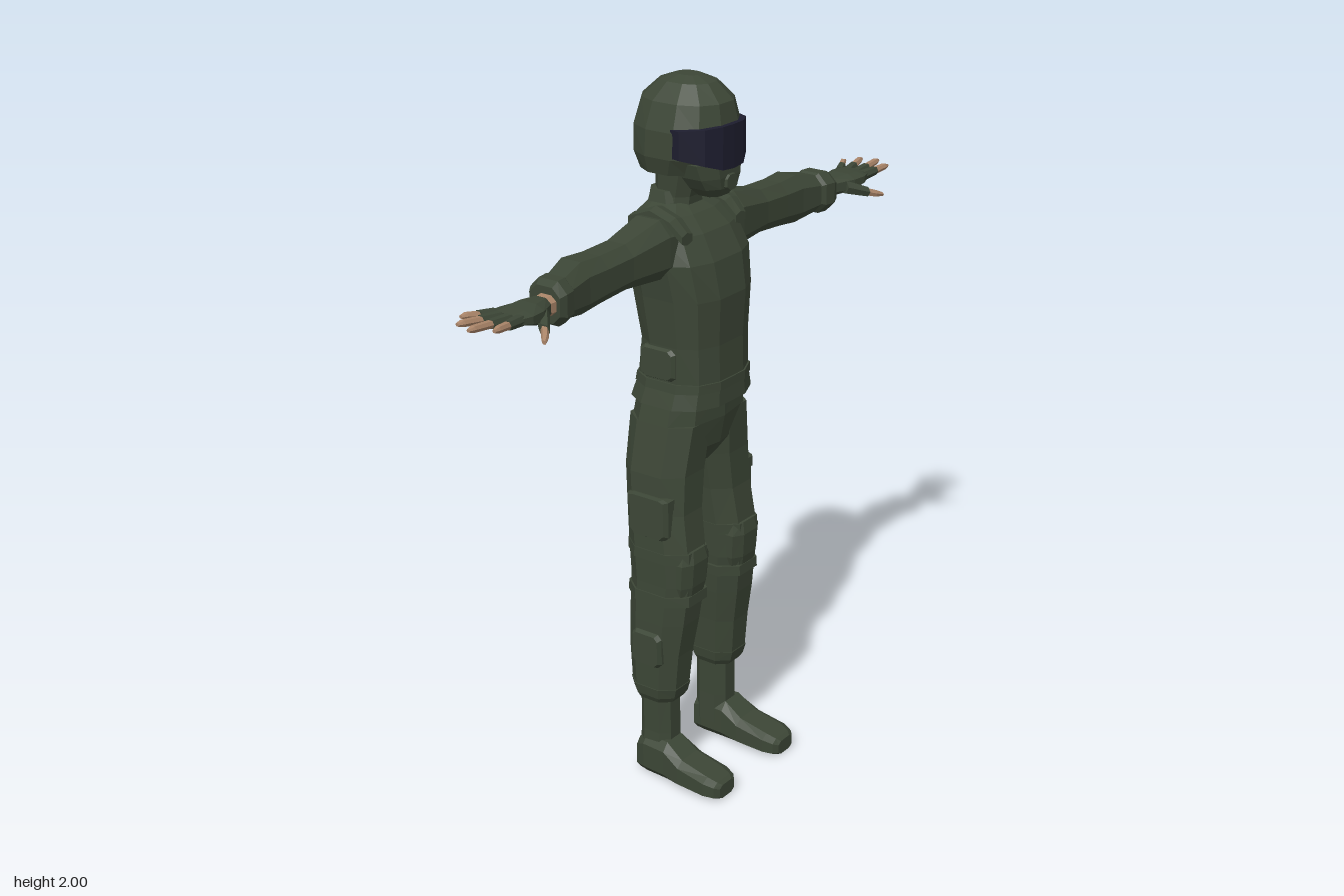
import * as THREE from 'three';

const mat = (name, color) => {
  const m = new THREE.MeshStandardMaterial({ color, flatShading: true });
  m.name = name;
  return m;
};

// Skins closed rings of points, caps both ends and makes the faces point outward.
function skin(rings) {
  const tris = [];
  const n = rings[0].length;
  for (let i = 0; i < rings.length - 1; i++) {
    for (let j = 0; j < n; j++) {
      const k = (j + 1) % n;
      const a = rings[i][j], b = rings[i][k], c = rings[i + 1][k], d = rings[i + 1][j];
      tris.push([a, b, c], [a, c, d]);
    }
  }
  const first = rings[0], last = rings[rings.length - 1];
  for (let j = 1; j < n - 1; j++) {
    tris.push([first[0], first[j + 1], first[j]], [last[0], last[j], last[j + 1]]);
  }
  let volume = 0;
  const cross = new THREE.Vector3();
  for (const [a, b, c] of tris) volume += a.dot(cross.crossVectors(b, c));
  const points = [];
  for (const [a, b, c] of tris) points.push(...(volume < 0 ? [a, c, b] : [a, b, c]));
  const geo = new THREE.BufferGeometry().setFromPoints(points);
  geo.computeVertexNormals();
  return geo;
}

// Sections are [position on axis, centre a, centre b, radius a, radius b];
// a and b are x,z on the y axis, y,z on the x axis and x,y on the z axis.
function loft(axis, sections, { side = 1, n = 8, power = 2.6 } = {}) {
  const fit = Math.cos(Math.PI / n) ** (2 / power);
  const bow = (v) => Math.sign(v) * Math.abs(v) ** (2 / power) / fit;
  return skin(sections.map(([t, ca, cb, ra, rb]) => Array.from({ length: n }, (_, i) => {
    const angle = ((i + 0.5) / n) * Math.PI * 2;
    const a = ca + ra * bow(Math.cos(angle));
    const b = cb + rb * bow(Math.sin(angle));
    const p = axis === 'y' ? [a, t, b] : axis === 'x' ? [t, a, b] : [a, b, t];
    return new THREE.Vector3(p[0] * side, p[1], p[2]);
  })));
}

export function createModel() {
  const model = new THREE.Group();
  model.name = 'pilot';
  const green = mat('olive cloth', 0x3c4636);
  const glass = mat('dark visor', 0x1d1d2e);
  const flesh = mat('skin', 0xa98468);
  const add = (name, geo, material = green) => {
    const mesh = new THREE.Mesh(geo, material);
    mesh.name = name;
    model.add(mesh);
    return mesh;
  };

  // Helmet, visor and breathing mask
  add('helmet', loft('y', [
    [1.755, 0, -0.06, 0.112, 0.1], [1.8, 0, -0.052, 0.125, 0.128], [1.87, 0, -0.047, 0.122, 0.137],
    [1.94, 0, -0.045, 0.1, 0.122], [1.985, 0, -0.043, 0.06, 0.076], [2, 0, -0.042, 0.028, 0.035],
  ], { n: 12, power: 2.3 }));
  const visorHalf = [[0, 0.102, 1.888, 1.772], [0.045, 0.099, 1.888, 1.775], [0.09, 0.075, 1.885, 1.79], [0.127, 0.018, 1.88, 1.805]];
  const visorColumns = [
    ...visorHalf.slice(1).reverse().map(([x, ...rest]) => [-x, ...rest]), ...visorHalf];
  add('visor', skin(visorColumns.map(([x, z, top, bottom]) => [
    [x, top, z], [x, bottom, z], [x * 0.95, bottom, z - 0.03], [x * 0.95, top, z - 0.03],
  ].map((p) => new THREE.Vector3(...p)))), glass);
  add('mask', loft('y', [
    [1.695, 0, 0.035, 0.04, 0.035], [1.72, 0, 0.035, 0.068, 0.052], [1.75, 0, 0.03, 0.088, 0.06],
    [1.79, 0, 0.02, 0.1, 0.068],
  ]));
  add('maskValve', loft('z', [[0.06, 0, 1.735, 0.03, 0.025], [0.097, 0, 1.735, 0.022, 0.02]]));
  add('neck', loft('y', [[1.6, 0, -0.085, 0.07, 0.06], [1.68, 0, -0.075, 0.055, 0.055], [1.78, 0, -0.06, 0.062, 0.07]]));
  add('collar', loft('y', [[1.62, 0, -0.085, 0.09, 0.07], [1.665, 0, -0.09, 0.075, 0.055], [1.695, 0, -0.095, 0.068, 0.045]]));

  // Jacket with flared hem
  add('jacket', loft('y', [
    [1.13, 0, -0.036, 0.16, 0.136], [1.195, 0, -0.028, 0.142, 0.126], [1.3, 0, -0.023, 0.142, 0.118],
    [1.43, 0, -0.032, 0.152, 0.133], [1.53, 0, -0.042, 0.166, 0.126], [1.6, 0, -0.058, 0.155, 0.105],
    [1.642, 0, -0.075, 0.125, 0.08], [1.665, 0, -0.085, 0.075, 0.055],
  ], { n: 12, power: 2.7 }));
  add('waistband', loft('y', [[1.175, 0, -0.03, 0.15, 0.132], [1.2, 0, -0.028, 0.147, 0.13]], { n: 12, power: 2.7 }));

  // Seat of the trousers
  add('pelvis', loft('y', [
    [1.17, 0, -0.038, 0.145, 0.11], [1.08, 0, -0.045, 0.163, 0.116], [1, 0, -0.054, 0.165, 0.11],
    [0.94, 0, -0.05, 0.055, 0.065],
  ], { n: 10 }));

  for (const side of [1, -1]) {
    const label = side > 0 ? 'left' : 'right';
    const part = (name, axis, sections, material = green, options = {}) =>
      add(label + name, loft(axis, sections, { side, ...options }), material);

    // Chamfered pad: centre and half sizes, narrowed toward its outer face
    const pad = (name, [x, y, z], [hx, hy, hz]) => part(name, 'x', [
      [x - hx, y, z, hy, hz], [x + hx * 0.4, y, z, hy, hz], [x + hx, y, z, hy * 0.88, hz * 0.85],
    ], green, { power: 6 });

    // Sleeve, shoulder strap and cuff
    part('Sleeve', 'x', [
      [0.07, 1.565, -0.055, 0.07, 0.075], [0.165, 1.572, -0.052, 0.08, 0.072], [0.3, 1.562, -0.05, 0.06, 0.056],
      [0.4, 1.556, -0.052, 0.062, 0.056], [0.475, 1.553, -0.055, 0.068, 0.06], [0.56, 1.552, -0.034, 0.052, 0.05],
      [0.585, 1.552, -0.03, 0.05, 0.046],
    ]);
    part('Cuff', 'x', [
      [0.55, 1.552, -0.034, 0.05, 0.048], [0.562, 1.552, -0.032, 0.058, 0.057],
      [0.595, 1.552, -0.027, 0.058, 0.058], [0.615, 1.552, -0.024, 0.046, 0.048],
    ]);
    part('ShoulderStrap', 'z', [
      [-0.13, 0.122, 1.63, 0.026, 0.014], [-0.06, 0.12, 1.655, 0.028, 0.016], [0.005, 0.122, 1.635, 0.027, 0.015],
      [0.04, 0.12, 1.6, 0.022, 0.015],
    ], green, { n: 6 });

    // Wrist, fingerless glove and fingers
    part('Wrist', 'x', [[0.59, 1.553, -0.02, 0.028, 0.034], [0.65, 1.553, -0.017, 0.023, 0.028]], flesh);
    part('Glove', 'x', [
      [0.635, 1.553, -0.018, 0.025, 0.031], [0.69, 1.555, -0.012, 0.027, 0.05],
      [0.735, 1.56, -0.013, 0.019, 0.056], [0.77, 1.562, -0.018, 0.013, 0.05],
    ]);
    [[-0.056, 0.84, -0.092], [-0.032, 0.885, -0.063], [-0.005, 0.9, -0.015], [0.02, 0.868, 0.036]]
      .forEach(([z0, x1, z1], i) => {
        const x0 = 0.755, xm = (x0 + x1) / 2, zm = (z0 + z1) / 2;
        part('GloveFinger' + (i + 1), 'x', [[x0, 1.562, z0, 0.013, 0.014], [xm, 1.566, zm, 0.011, 0.012]], green, { n: 6 });
        part('Finger' + (i + 1), 'x', [[xm - 0.005, 1.566, zm, 0.009, 0.01], [x1 - 0.015, 1.57, z1 * 0.8 + zm * 0.2, 0.008, 0.009],
          [x1, 1.57, z1, 0.004, 0.005]], flesh, { n: 6 });
      });
    part('GloveThumb', 'x', [[0.665, 1.55, 0.012, 0.019, 0.02], [0.715, 1.532, 0.058, 0.014, 0.016]], green, { n: 6 });
    part('Thumb', 'x', [[0.71, 1.533, 0.055, 0.011, 0.012], [0.735, 1.525, 0.076, 0.01, 0.011], [0.755, 1.52, 0.09, 0.005, 0.006]], flesh, { n: 6 });

    // Trouser leg with knee pad, straps and pockets
    part('TrouserLeg', 'y', [
      [1.08, 0.083, -0.045, 0.08, 0.105], [0.94, 0.103, -0.05, 0.087, 0.1], [0.83, 0.114, -0.044, 0.082, 0.096],
      [0.72, 0.12, -0.032, 0.08, 0.1], [0.62, 0.121, -0.028, 0.077, 0.098], [0.5, 0.128, -0.036, 0.073, 0.092],
      [0.4, 0.133, -0.044, 0.068, 0.084], [0.285, 0.136, -0.045, 0.063, 0.075],
    ]);
    part('TrouserHem', 'y', [[0.295, 0.136, -0.045, 0.066, 0.078], [0.265, 0.136, -0.045, 0.061, 0.07], [0.248, 0.136, -0.046, 0.052, 0.06]]);
    [0.705, 0.575].forEach((y, i) => part('KneeStrap' + (i + 1), 'y', [
      [y + 0.018, 0.12, -0.03, 0.082, 0.103], [y - 0.012, 0.121, -0.03, 0.082, 0.104],
    ]));
    part('KneePad', 'y', [
      [0.725, 0.118, 0.04, 0.05, 0.035], [0.69, 0.119, 0.045, 0.062, 0.037],
      [0.62, 0.12, 0.04, 0.06, 0.037], [0.56, 0.122, 0.03, 0.045, 0.035],
    ]);
    pad('ThighPocket', [0.186, 0.82, -0.037], [0.02, 0.062, 0.066]);
    pad('ThighPocketFlap', [0.189, 0.865, -0.037], [0.021, 0.02, 0.068]);
    pad('CalfPocket', [0.193, 0.42, -0.042], [0.021, 0.052, 0.05]);
    pad('WaistPouch', [0.137, 1.25, -0.04], [0.016, 0.045, 0.058]);

    // Boot
    part('BootShaft', 'y', [[0.05, 0.136, -0.048, 0.047, 0.053], [0.14, 0.133, -0.048, 0.044, 0.052], [0.29, 0.134, -0.048, 0.046, 0.05]]);
    part('BootFoot', 'z', [
      [-0.1, 0.138, 0.05, 0.042, 0.05], [-0.07, 0.14, 0.06, 0.05, 0.06], [0.005, 0.142, 0.06, 0.053, 0.06],
      [0.06, 0.144, 0.041, 0.058, 0.041], [0.15, 0.146, 0.031, 0.058, 0.031], [0.18, 0.146, 0.026, 0.048, 0.026],
      [0.192, 0.146, 0.023, 0.034, 0.021],
    ], green, { power: 3.6 });
  }
  return model;
}
